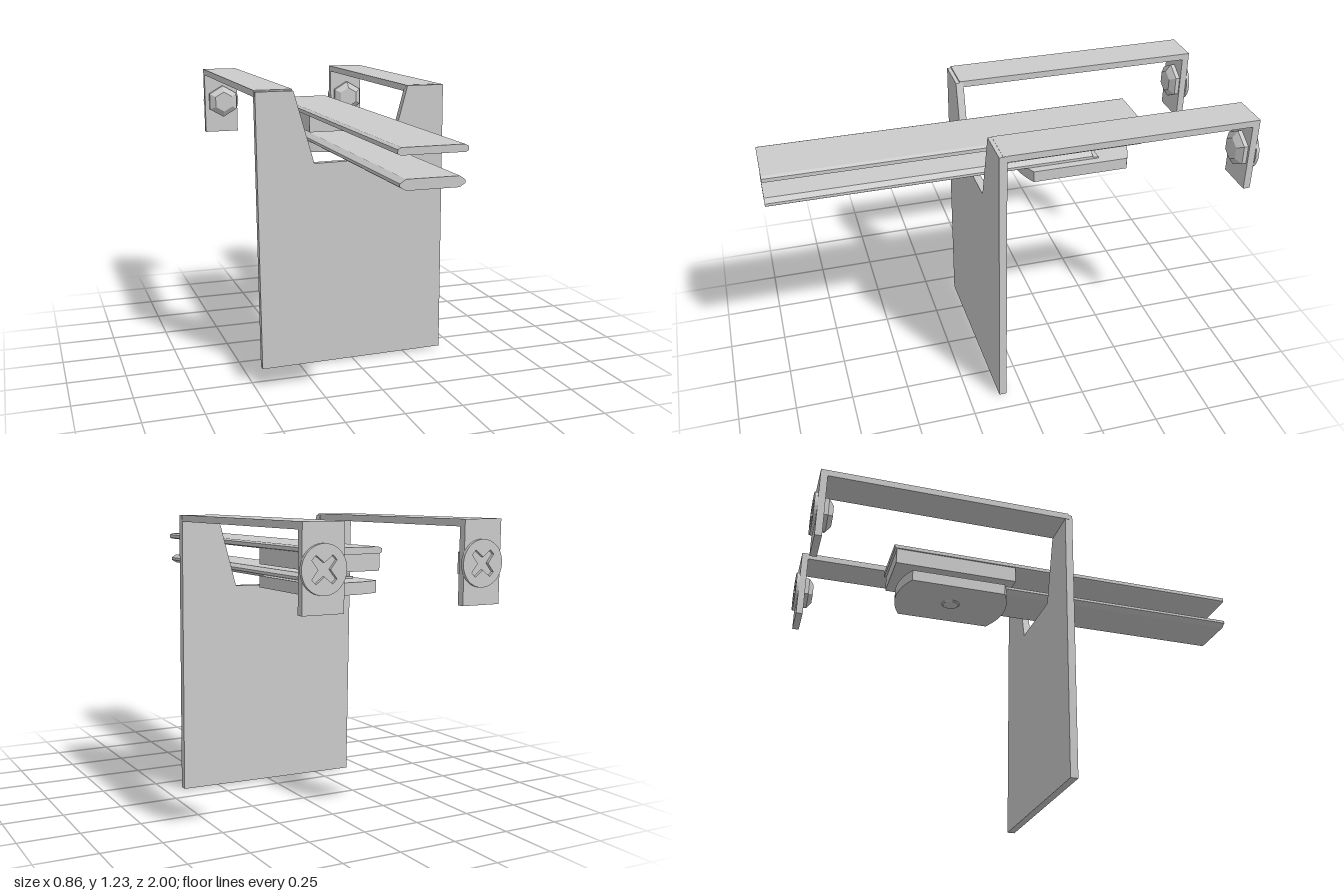
import * as THREE from 'three';

const mat = new THREE.MeshStandardMaterial({ color: 0xcccccc, flatShading: true });

function add(parent, name, geo, x = 0, y = 0, z = 0) {
  const mesh = new THREE.Mesh(geo, mat);
  mesh.name = name;
  mesh.position.set(x, y, z);
  parent.add(mesh);
  return mesh;
}

// Box given by its limits on each axis
function box(parent, name, [x0, x1], [y0, y1], [z0, z1]) {
  return add(parent, name, new THREE.BoxGeometry(x1 - x0, y1 - y0, z1 - z0),
    (x0 + x1) / 2, (y0 + y1) / 2, (z0 + z1) / 2);
}

const outline = (pts) => new THREE.Shape(pts.map(([x, y]) => new THREE.Vector2(x, y)));

const extrude = (shape, depth) =>
  new THREE.ExtrudeGeometry(shape, { depth, bevelEnabled: false, curveSegments: 16 });

// Screw head with a cross-shaped recess, facing -z, and a chamfered hex nut on the other side
function makeScrew(x) {
  const screw = new THREE.Group();
  screw.name = 'screw';
  const head = new THREE.Shape().absarc(0, 0, 0.09, 0, Math.PI * 2, false);
  const cross = [];
  for (let i = 0; i < 4; i++) {
    const a = i * Math.PI / 2 + Math.PI / 4;
    for (const [r, d] of [[0.024, -Math.PI / 4], [0.06, -0.2], [0.06, 0.2]]) {
      cross.push(new THREE.Vector2(r * Math.cos(a + d), r * Math.sin(a + d)));
    }
  }
  head.holes.push(new THREE.Path(cross));
  add(screw, 'screwHead', extrude(head, 0.014), 0, 0, -1.0);

  const profile = [[0, 0], [0.08, 0], [0.08, 0.018], [0.05, 0.04], [0, 0.04]];
  const nut = new THREE.LatheGeometry(profile.map(([r, h]) => new THREE.Vector2(r, h)), 6);
  add(screw, 'nut', nut.rotateX(Math.PI / 2), 0, 0, -0.957);
  screw.position.set(x, 1.062, 0);
  return screw;
}

export function createModel() {
  const model = new THREE.Group();
  model.name = 'bracketAssembly';

  // Upright plate with a tapered notch
  add(model, 'frontPlate', extrude(outline([
    [-0.42, 0], [0.425, 0.01], [0.417, 1.225], [0.25, 1.225],
    [0.165, 0.912], [-0.175, 0.907], [-0.265, 1.22], [-0.43, 1.22],
  ]), 0.033), 0, 0, 0.084);

  // Two arms running back, each with a bent-down tab and a screw
  for (const [side, x0, x1, screwX] of [['right', -0.432, -0.265, -0.342], ['left', 0.248, 0.415, 0.335]]) {
    box(model, side + 'Arm', [x0, x1], [1.198, 1.226], [-0.987, 0.1]);
    box(model, side + 'Tab', [x0, x1], [0.905, 1.2], [-0.987, -0.957]);
    model.add(makeScrew(screwX));
  }

  // Upper strip with chamfered top edges, and the block beneath its back end
  add(model, 'upperStrip', extrude(outline([
    [-0.135, 1.083], [0.11, 1.083], [0.121, 1.088], [0.121, 1.104],
    [0.107, 1.111], [-0.133, 1.111], [-0.147, 1.104], [-0.147, 1.088],
  ]), 1.615), 0, 0, -0.615);
  box(model, 'upperBlock', [-0.143, 0.117], [1.015, 1.087], [-0.605, -0.055]);

  // Lower strip made of two stacked layers
  add(model, 'lowerStripTop', extrude(outline([
    [-0.138, 0.978], [0.112, 0.978], [0.112, 0.984], [0.09, 0.999], [-0.114, 0.999], [-0.138, 0.984],
  ]), 1.39), 0, 0, -0.39);
  add(model, 'lowerStripBottom', extrude(outline([
    [-0.114, 0.958], [0.09, 0.958], [0.112, 0.972], [0.112, 0.979], [-0.138, 0.979], [-0.138, 0.972],
  ]), 1.415), 0, 0, -0.415);

  // Clamp plate with bowed ends (drawn in plan as x, -z)
  const clamp = new THREE.Shape();
  clamp.moveTo(-0.175, 0.115);
  clamp.quadraticCurveTo(-0.015, 0.03, 0.145, 0.115);
  clamp.lineTo(0.145, 0.535);
  clamp.quadraticCurveTo(-0.015, 0.62, -0.175, 0.535);
  clamp.closePath();
  add(model, 'clampPlate', extrude(clamp, 0.05).rotateX(-Math.PI / 2), 0, 0.92, 0);

  // Shallow pivot under the clamp plate
  add(model, 'pivot', new THREE.CylinderGeometry(0.042, 0.034, 0.006, 20), -0.015, 0.918, -0.325);

  return model;
}
